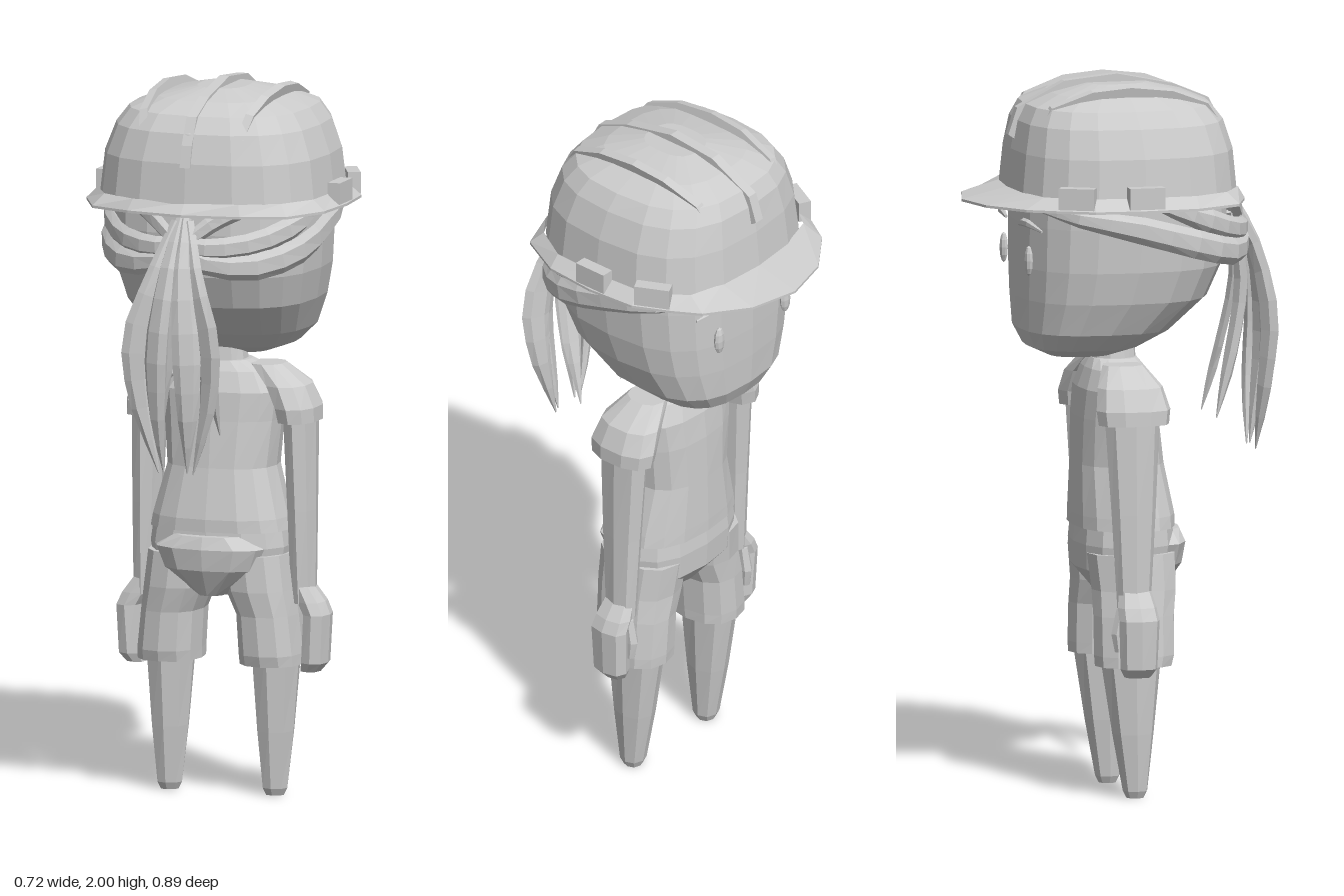
import * as THREE from 'three';

const grey = new THREE.MeshStandardMaterial({ color: 0xcccccc, flatShading: true });
grey.name = 'plain grey';

// Skin a stack of closed rings of Vector3, with fan caps on both ends
function skin(rings, capped = true) {
  const n = rings[0].length, pos = [], idx = [];
  rings.forEach(r => r.forEach(p => pos.push(p.x, p.y, p.z)));
  for (let k = 0; k < rings.length - 1; k++) {
    for (let i = 0; i < n; i++) {
      const j = (i + 1) % n, a = k * n + i, b = k * n + j;
      idx.push(a, b, b + n, a, b + n, a + n);
    }
  }
  if (capped) {
    [0, rings.length - 1].forEach((k, end) => {
      const c = new THREE.Vector3();
      rings[k].forEach(p => c.addScaledVector(p, 1 / n));
      const ci = pos.length / 3;
      pos.push(c.x, c.y, c.z);
      for (let i = 0; i < n; i++) {
        const a = k * n + i, b = k * n + (i + 1) % n;
        end ? idx.push(ci, a, b) : idx.push(ci, b, a);
      }
    });
  }
  const g = new THREE.BufferGeometry();
  g.setAttribute('position', new THREE.Float32BufferAttribute(pos, 3));
  g.setIndex(idx);
  g.computeVertexNormals();
  return g;
}

// Upright loft, bottom to top: each row is [y, centreX, halfWidth, zBack, zFace]
function loft(rows, sides, power = 2, s = 1) {
  const bend = v => Math.sign(v) * Math.pow(Math.abs(v), 2 / power);
  return skin(rows.map(([y, cx, rx, zb, zf]) => Array.from({ length: sides }, (_, i) => {
    const t = i / sides * Math.PI * 2;
    return new THREE.Vector3(s * cx + rx * bend(Math.sin(t)), y, (zb + zf) / 2 + (zb - zf) / 2 * bend(Math.cos(t)));
  })));
}

// Flat lock of hair along a curve: across is the broad direction, widths are spread over its length
function lock(points, across, widths, thick, s = 1, steps = 9) {
  const curve = new THREE.CatmullRomCurve3(points.map(p => new THREE.Vector3(p[0] * s, p[1], p[2])));
  const rings = [];
  for (let k = 0; k <= steps; k++) {
    const t = k / steps, c = curve.getPoint(t), T = curve.getTangent(t);
    const u = new THREE.Vector3(across[0] * s, across[1], across[2]);
    u.addScaledVector(T, -u.dot(T)).normalize();
    const v = T.clone().cross(u);
    const f = t * (widths.length - 1), i = Math.min(Math.floor(f), widths.length - 2);
    const w = THREE.MathUtils.lerp(widths[i], widths[i + 1], f - i);
    const h = Math.min(thick, w * 0.8);
    rings.push(Array.from({ length: 6 }, (_, q) => {
      const a = q / 6 * Math.PI * 2;
      return c.clone().addScaledVector(u, w * Math.cos(a)).addScaledVector(v, h * Math.sin(a));
    }));
  }
  return skin(rings);
}

// Upright slab from a [z, y] outline
function slab(outline, width) {
  const shape = new THREE.Shape(outline.map(p => new THREE.Vector2(...p)));
  const g = new THREE.ExtrudeGeometry(shape, { depth: width, bevelEnabled: false });
  g.translate(0, 0, -width / 2);
  return g.rotateY(-Math.PI / 2);
}

export function createModel() {
  const model = new THREE.Group();
  model.name = 'helmetedFigure';
  const add = (name, geo, parent = model) => {
    const m = new THREE.Mesh(geo, grey);
    m.name = name;
    parent.add(m);
    return m;
  };

  // Head and neck
  add('head', loft([
    [1.225, 0, 0.10, -0.02, -0.2], [1.25, 0, 0.17, 0.05, -0.255], [1.3, 0, 0.225, 0.14, -0.28],
    [1.39, 0, 0.265, 0.24, -0.285], [1.48, 0, 0.285, 0.28, -0.287], [1.6, 0, 0.293, 0.295, -0.287],
    [1.7, 0, 0.293, 0.29, -0.285]], 20, 2.7));
  add('neck', loft([[1.17, 0, 0.07, 0.06, -0.08], [1.27, 0, 0.055, 0.05, -0.07]], 10));

  // Helmet shell
  add('helmetShell', loft([
    [1.67, 0, 0.328, 0.322, -0.313], [1.8, 0, 0.313, 0.31, -0.3], [1.88, 0, 0.283, 0.285, -0.285],
    [1.925, 0, 0.25, 0.25, -0.262], [1.955, 0, 0.175, 0.18, -0.19], [1.978, 0, 0.07, 0.08, -0.09]], 20, 2.7));

  // Helmet brim, widening to a visor over the face: [x, z] outlines from nape to visor
  const outer = [[0, 0.35], [0.165, 0.325], [0.285, 0.28], [0.35, 0.15], [0.362, 0],
    [0.35, -0.145], [0.30, -0.245], [0.255, -0.32], [0.14, -0.405], [0, -0.44]];
  const inner = [[0, 0.315], [0.155, 0.308], [0.26, 0.25], [0.318, 0.15], [0.325, 0],
    [0.315, -0.14], [0.28, -0.21], [0.24, -0.265], [0.14, -0.295], [0, -0.308]];
  const ring = (half, y, k = 1) => [...half, ...half.slice(1, -1).reverse().map(([x, z]) => [-x, z])]
    .map(([x, z]) => new THREE.Vector3(x * k, y, z * k));
  add('helmetBrim', skin([ring(inner, 1.664, 0.9), ring(outer, 1.657), ring(outer, 1.664), ring(inner, 1.695)], false));

  // Helmet ridges
  add('middleRidge', slab([[-0.31, 1.84], [-0.285, 1.915], [-0.15, 1.985], [0, 2], [0.16, 1.967],
    [0.26, 1.925], [0.3, 1.85], [0.316, 1.79], [0.28, 1.79], [-0.28, 1.82]], 0.03));
  for (const s of [-1, 1]) {
    const ridge = add('sideRidge', slab([[-0.26, 1.87], [-0.225, 1.935], [-0.11, 1.978], [0, 1.988],
      [0.12, 1.974], [0.22, 1.935], [0.265, 1.87], [0.2, 1.86], [-0.2, 1.86]].map(([z, y]) => [z, y - 1.86]), 0.024));
    ridge.position.set(s * 0.14, 1.86, 0);
    ridge.rotation.z = -s * 0.22;

    // Clips on the brim
    for (const [x, z, turn] of [[0.341, 0, 0], [0.308, -0.187, 0.46]]) {
      const clip = add('brimClip', new THREE.BoxGeometry(0.036, 0.06, 0.1));
      clip.position.set(s * x, 1.697, z);
      clip.rotation.y = s * turn;
    }

    // Eyes and brows
    const eye = add('eye', new THREE.SphereGeometry(1, 8, 6));
    eye.scale.set(0.018, 0.042, 0.012);
    eye.position.set(s * 0.14, 1.505, -0.284);
    add('brow', lock([[0.07, 1.6, -0.295], [0.14, 1.612, -0.292], [0.215, 1.595, -0.265]], [0, 1, 0], [0.005, 0.014, 0.004], 0.012, s, 5));

    // Hair swept back along the head to the knot
    const up = [0, 1, 0];
    add('sideHair', lock([[0.19, 1.655, -0.265], [0.272, 1.635, -0.17], [0.298, 1.6, 0.0], [0.285, 1.555, 0.16],
      [0.2, 1.52, 0.285], [0.07, 1.53, 0.345], [0, 1.57, 0.34]], up, [0.008, 0.025, 0.038, 0.04, 0.038, 0.03, 0.02], 0.018, s, 12));
    add('upperHair', lock([[0.285, 1.665, 0.06], [0.28, 1.63, 0.16], [0.2, 1.585, 0.275], [0.08, 1.57, 0.34],
      [0, 1.58, 0.34]], up, [0.02, 0.035, 0.032, 0.025], 0.018, s));
    add('napeHair', lock([[0.15, 1.68, 0.275], [0.09, 1.645, 0.315], [0.02, 1.59, 0.345]], up, [0.03, 0.025, 0.02], 0.015, s, 5));

    // Ponytail locks
    add('outerPonytailLock', lock([[0.015, 1.64, 0.325], [0.055, 1.5, 0.385], [0.105, 1.32, 0.41], [0.1, 1.15, 0.4],
      [0.05, 0.945, 0.385]], [1, 0, 0.45], [0.02, 0.03, 0.044, 0.032, 0.002], 0.016, s));
    add('innerPonytailLock', lock([[0.008, 1.65, 0.325], [0.025, 1.5, 0.395], [0.045, 1.3, 0.425], [0.045, 1.12, 0.415],
      [0.035, 0.95, 0.39]], [1, 0, -0.4], [0.015, 0.03, 0.042, 0.03, 0.002], 0.016, s));
    add('shortPonytailLock', lock([[0.01, 1.6, 0.33], [0.045, 1.42, 0.345], [0.07, 1.22, 0.31], [0.085, 1.04, 0.265]],
      [1, 0, 0.3], [0.02, 0.035, 0.03, 0.002], 0.014, s));

    // Sleeve, arm and hand
    add('sleeve', loft([[1.05, 0.222, 0.056, 0.095, -0.105], [1.09, 0.217, 0.06, 0.1, -0.11],
      [1.15, 0.188, 0.062, 0.085, -0.1], [1.205, 0.125, 0.05, 0.045, -0.07]], 10, 2.3, s));
    add('arm', loft([[0.54, 0.232, 0.034, 0.04, -0.055], [0.8, 0.228, 0.039, 0.055, -0.07],
      [1.1, 0.222, 0.045, 0.07, -0.09]], 8, 2.2, s));
    add('hand', loft([[0.35, 0.255, 0.028, 0.035, -0.04], [0.375, 0.268, 0.037, 0.05, -0.055],
      [0.51, 0.275, 0.036, 0.055, -0.06], [0.545, 0.258, 0.038, 0.05, -0.06], [0.59, 0.232, 0.03, 0.04, -0.05]], 8, 2.6, s));
    add('thumb', loft([[0.42, 0.245, 0.014, -0.035, -0.065], [0.47, 0.243, 0.018, -0.03, -0.075],
      [0.54, 0.243, 0.015, -0.02, -0.06]], 6, 2, s));

    // Trouser leg and bare leg
    add('shortsLeg', loft([[0.37, 0.15, 0.088, 0.12, -0.098], [0.4, 0.149, 0.088, 0.128, -0.1],
      [0.51, 0.14, 0.085, 0.13, -0.1], [0.58, 0.12, 0.095, 0.14, -0.1], [0.68, 0.108, 0.095, 0.14, -0.11]], 12, 2.4, s));
    add('leg', loft([[0, 0.155, 0.026, 0.04, -0.01], [0.02, 0.155, 0.036, 0.05, -0.02],
      [0.18, 0.155, 0.052, 0.068, -0.05], [0.42, 0.155, 0.068, 0.092, -0.088]], 8, 2.3, s));
  }

  // Shirt
  add('shirt', loft([[0.745, 0, 0.2, 0.152, -0.125], [0.78, 0, 0.193, 0.152, -0.125], [0.92, 0, 0.155, 0.125, -0.122],
    [1.05, 0, 0.168, 0.108, -0.118], [1.13, 0, 0.178, 0.1, -0.11], [1.185, 0, 0.14, 0.075, -0.09],
    [1.212, 0, 0.075, 0.055, -0.075]], 16, 2.5));

  // Hips and rounded seat
  add('hips', loft([[0.56, 0, 0.06, 0.07, -0.06], [0.63, 0, 0.19, 0.14, -0.118], [0.7, 0, 0.2, 0.15, -0.122],
    [0.77, 0, 0.19, 0.145, -0.115]], 14, 2.5));
  add('seat', loft([[0.565, 0, 0.04, 0.14, 0.02], [0.64, 0, 0.14, 0.178, 0], [0.7, 0, 0.165, 0.186, 0],
    [0.735, 0, 0.11, 0.175, 0]], 12, 2.3));
  return model;
}
